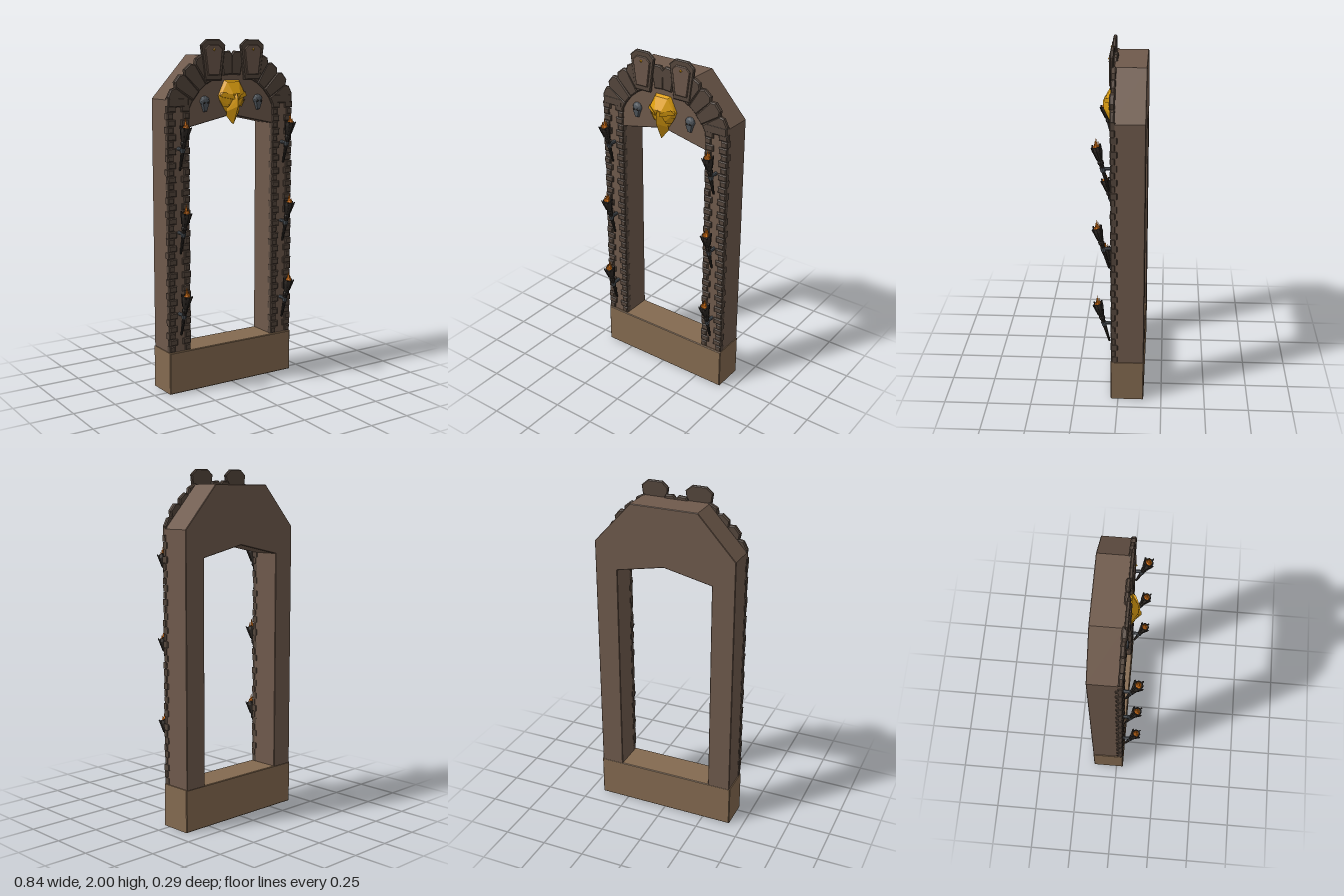
import * as THREE from 'three';
import { ConvexGeometry } from 'three/addons/geometries/ConvexGeometry.js';

const paint = (color) => new THREE.MeshStandardMaterial({ color, flatShading: true });
const V = (x, y, z) => new THREE.Vector3(x, y, z);

export function createModel() {
  const root = new THREE.Group();
  root.name = 'torchlitGate';
  const mats = {
    base: paint(0x846a50), body: paint(0x6f5a4c), brick: paint(0x54463c), panel: paint(0x6b574a),
    gold: paint(0xe0a010), wood: paint(0x2c2723), flame: paint(0xf08018), iron: paint(0x50565c),
  };
  const add = (parent, name, geo, mat, x = 0, y = 0, z = 0) => {
    const m = new THREE.Mesh(geo, mats[mat]);
    m.name = name;
    m.position.set(x, y, z);
    parent.add(m);
    return m;
  };
  const group = (name, parent = root) => {
    const g = new THREE.Group();
    g.name = name;
    parent.add(g);
    return g;
  };
  // Chamfered slab cut from an outline, spanning z0 to z1
  const slab = (pts, z0, z1, b = 0.004) => {
    const shape = new THREE.Shape(pts.map(([x, y]) => new THREE.Vector2(x, y)));
    return new THREE.ExtrudeGeometry(shape, {
      depth: z1 - z0 - 2 * b, bevelEnabled: true, bevelThickness: b, bevelSize: b,
      bevelOffset: -b, bevelSegments: 1,
    }).translate(0, 0, z0 + b);
  };
  const rect = (x0, x1, y0, y1) => [[x0, y0], [x1, y0], [x1, y1], [x0, y1]];
  const convex = (pts) => new ConvexGeometry(pts.map((p) => V(...p)));
  const both = (pts) => pts.flatMap(([x, y, z]) => (x ? [[x, y, z], [-x, y, z]] : [[x, y, z]]));

  // Threshold block and gate frame
  add(root, 'base', slab(rect(-0.42, 0.42, 0, 0.245), -0.147, 0.042), 'base');
  const half = [[0.415, 0.24], [0.415, 1.675], [0.195, 1.915]];
  const inner = [[0.282, 1.52], [0.282, 0.24]];
  const flip = (pts) => pts.map(([x, y]) => [-x, y]).reverse();
  add(root, 'frame', slab([...half, ...flip(half), ...flip(inner), [0, 1.58], ...inner],
    -0.147, 0.03, 0.003), 'body');

  // Toothed brick columns on both edges of each pillar
  const bricks = group('pillarBricks');
  const rows = 36, rowH = (1.645 - 0.245) / rows;
  for (const s of [1, -1]) {
    for (let i = 0; i < rows; i++) {
      const y0 = 0.245 + i * rowH + 0.0015, y1 = y0 + rowH - 0.003;
      const wide = i % 2 ? 0.055 : 0.04;
      const jut = 0.003 * ((i * 7) % 3) / 2;
      const back = i % 2 ? 0.012 : 0;
      for (const [name, a, b] of [
        ['outerBrick', 0.421 - wide, 0.418 + jut],
        ['innerBrick', 0.281 - jut, 0.276 + wide],
      ]) {
        const [x0, x1] = s > 0 ? [a, b] : [-b, -a];
        add(bricks, name, slab(rect(x0, x1, y0, y1), back, 0.039 + jut, 0.005), 'brick');
      }
    }
  }

  // Fan of arch stones, drawn upright and turned about the arch centre
  const arch = group('archStones');
  for (const s of [1, -1]) {
    [27.5, 39, 50.5, 62, 85].forEach((deg, i) => {
      const top = i === 4 ? 0.437 : 0.458 + 0.004 * (i % 2);
      const w = i === 4 ? 0.041 : 0.046;
      const pts = [[-0.03, 0.305], [0.03, 0.305], [w, top - 0.025], [w * 0.55, top], [-w * 0.55, top], [-w, top - 0.025]];
      const stone = add(arch, 'archStone', slab(pts, 0.016, i === 4 ? 0.04 : 0.042 + 0.004 * (i % 2), 0.006), 'brick', 0, 1.5, 0);
      stone.rotation.z = s * (deg - 90) * Math.PI / 180;
    });
    // First stone sitting on the pillar
    add(arch, 'springer', slab(rect(-0.065, 0.065, -0.02, 0.03), 0.01, 0.043, 0.005), 'brick', s * 0.35, 1.655, 0);

    // Tall crest stone with raised panel and stud
    const crest = group('crestStone', arch);
    crest.position.set(s * 0.13, 0, 0);
    const outline = (k) => [[-0.053, 1.775], [0.053, 1.775], [0.08, 1.968], [0.042, 2], [-0.042, 2], [-0.08, 1.968]]
      .map(([x, y]) => [x * k, 1.885 + (y - 1.885) * (k + 0.08 * (1 - k))]);
    add(crest, 'crestSlab', slab(outline(1), 0.03, 0.05, 0.005), 'brick');
    add(crest, 'crestPanel', slab(outline(0.72), 0.045, 0.057, 0.004), 'panel');
    add(crest, 'crestStud', new THREE.OctahedronGeometry(0.009), 'gold', 0, 1.945, 0.057);
  }

  // Golden bird head with hooked beak
  const bird = group('birdHead');
  add(bird, 'crown', convex(both([
    [0.05, 1.775, 0.028], [0.09, 1.69, 0.028], [0.075, 1.65, 0.028], [0.035, 1.59, 0.028],
    [0.04, 1.765, 0.05], [0.08, 1.695, 0.05], [0.04, 1.64, 0.062], [0.022, 1.7, 0.085],
  ])), 'gold');
  add(bird, 'beak', convex(both([
    [0.034, 1.67, 0.05], [0, 1.705, 0.088], [0, 1.675, 0.1], [0, 1.63, 0.1],
    [0.042, 1.6, 0.045], [0.035, 1.575, 0.03], [0, 1.527, 0.052], [0, 1.535, 0.03],
  ])), 'gold');
  for (const s of [1, -1]) {
    add(bird, 'brow', convex([
      [s * 0.086, 1.705, 0.045], [s * 0.09, 1.685, 0.05], [s * 0.07, 1.712, 0.066],
      [s * 0.012, 1.668, 0.092], [s * 0.02, 1.69, 0.092], [s * 0.03, 1.67, 0.06],
    ]), 'gold');
    add(bird, 'cheek', convex([
      [s * 0.085, 1.665, 0.04], [s * 0.05, 1.655, 0.066], [s * 0.035, 1.632, 0.07],
      [s * 0.062, 1.625, 0.04], [s * 0.05, 1.63, 0.03],
    ]), 'gold');

    // Small iron skull ornament
    const skull = group('skull');
    skull.position.set(s * 0.178, 1.65, 0.03);
    add(skull, 'skullCap', new THREE.IcosahedronGeometry(0.031, 1).scale(1, 0.95, 0.65), 'iron', 0, 0.012, 0);
    add(skull, 'skullJaw', convex(both([
      [0.025, 0, 0], [0.02, 0, 0.02], [0.009, -0.047, 0], [0.008, -0.043, 0.014],
    ])), 'iron');
    for (const e of [1, -1]) {
      add(skull, 'eyeSocket', new THREE.OctahedronGeometry(0.008).scale(1, 1, 0.5), 'wood', e * 0.012, 0.003, 0.02);
    }
  }

  // Leaning wall torches, three on each pillar
  for (const s of [1, -1]) {
    for (let i = 0; i < 3; i++) {
      const y = 0.345 + i * 0.47;
      const torch = group('torch');
      torch.position.set(s * 0.35, y, 0.05);
      add(torch, 'bracket', new THREE.CylinderGeometry(0.01, 0.01, 0.06, 8).rotateX(Math.PI / 2), 'iron', 0, 0.122, 0.0);
      const shaft = group('shaft', torch);
      shaft.rotation.x = 0.265;
      const profile = [[0, 0], [0.006, 0.004], [0.013, 0.15], [0.017, 0.155], [0.017, 0.168], [0.014, 0.173],
        [0.029, 0.235], [0.026, 0.255], [0.02, 0.255], [0, 0.235]].map(([r, h]) => new THREE.Vector2(r, h));
      add(shaft, 'handle', new THREE.LatheGeometry(profile, 8), 'wood');
      add(shaft, 'collar', new THREE.CylinderGeometry(0.015, 0.014, 0.022, 8), 'iron', 0, 0.122, 0);
      for (let k = 0; k < 4; k++) {
        const a = k * Math.PI / 2 + Math.PI / 4;
        const prong = add(shaft, 'prong', new THREE.BoxGeometry(0.008, 0.075, 0.006), 'wood',
          Math.sin(a) * 0.024, 0.222, Math.cos(a) * 0.024);
        prong.rotation.set(0.2, a, 0, 'YXZ');
      }
      // Flame tongues of different heights
      [[0, 0, 0.075, 0.014], [0.011, 0.005, 0.05, 0.01], [-0.011, 0.006, 0.056, 0.01], [0.003, -0.011, 0.062, 0.01]]
        .forEach(([x, z, h, r]) => {
          const tongue = add(torch, 'flame', new THREE.ConeGeometry(r, h, 5), 'flame', x, 0.222 + h / 2, 0.066 + z);
          tongue.rotation.z = x * 8;
        });
      add(torch, 'ember', new THREE.IcosahedronGeometry(0.02, 0), 'flame', 0, 0.238, 0.065);
    }
  }
  return root;
}
